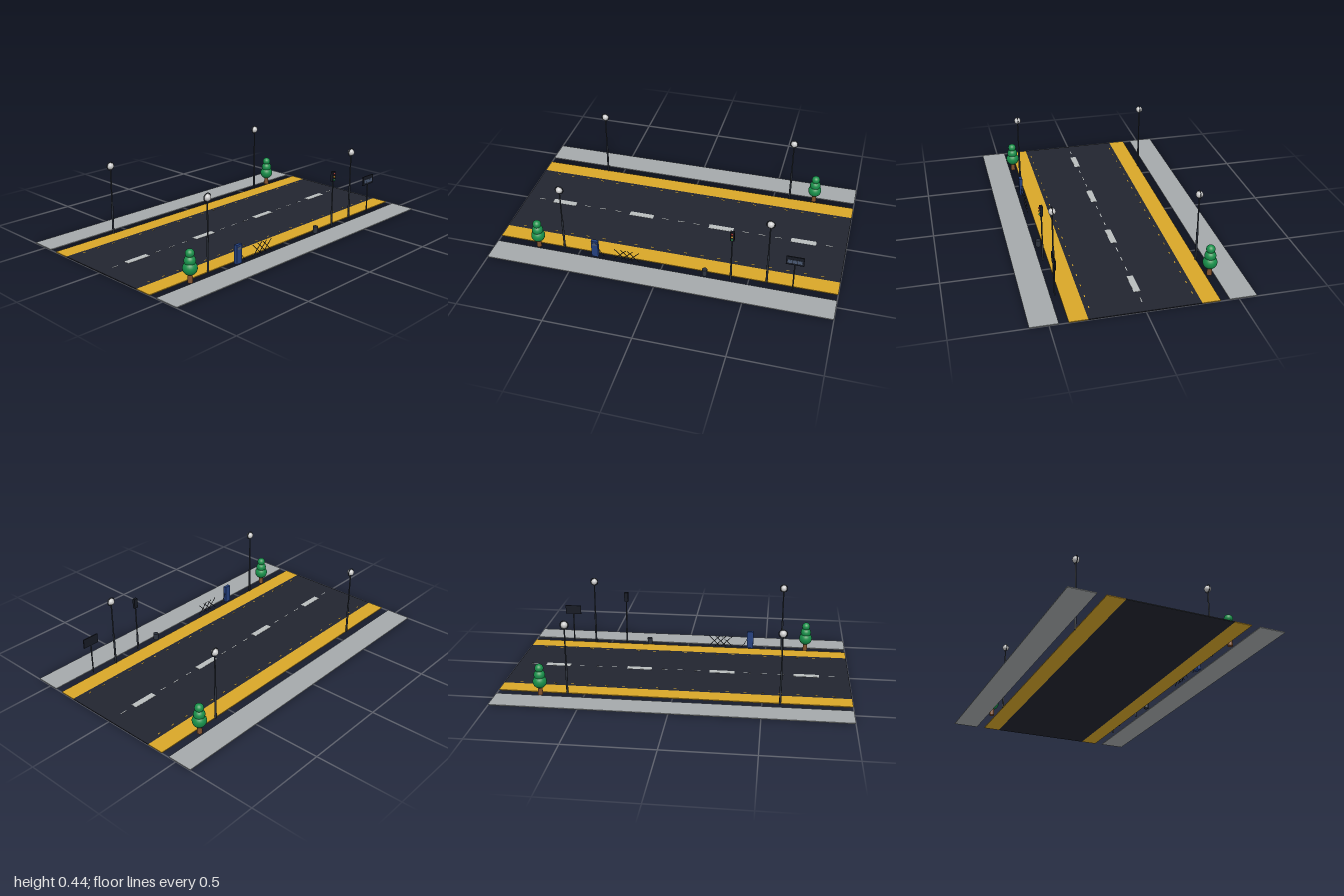
import * as THREE from 'three';

const mat = (color) => new THREE.MeshStandardMaterial({ color });
const M = {
  asphalt: mat(0x22252f), yellow: mat(0xd8a628), pavement: mat(0xa4a9ab), paint: mat(0xb9bdbd),
  metal: mat(0x2c323c), dark: mat(0x161a24), globe: mat(0xdddddd), leaf: mat(0x17904a), trunk: mat(0x80502c),
  blue: mat(0x24407f), screen: mat(0x4a5870), red: mat(0xc0302a), amber: mat(0xe0a020), green: mat(0x20a050),
};

function add(parent, name, geo, material, x = 0, y = 0, z = 0) {
  const m = new THREE.Mesh(geo, material);
  m.name = name;
  m.position.set(x, y, z);
  parent.add(m);
  return m;
}
const box = (w, h, d) => new THREE.BoxGeometry(w, h, d);
const cyl = (rt, rb, h, n = 16) => new THREE.CylinderGeometry(rt, rb, h, n);

function group(parent, name, x, z) {
  const g = new THREE.Group();
  g.name = name;
  g.position.set(x, 0, z);
  parent.add(g);
  return g;
}

// Thin straight rod between two points
function rod(parent, name, a, b, r, material) {
  const p = new THREE.Vector3(...a), q = new THREE.Vector3(...b);
  const m = add(parent, name, cyl(r, r, p.distanceTo(q), 8), material);
  m.position.copy(p).add(q).multiplyScalar(0.5);
  m.quaternion.setFromUnitVectors(new THREE.Vector3(0, 1, 0), q.sub(p).normalize());
}

function streetLamp(parent, x, z) {
  const g = group(parent, 'streetLamp', x, z);
  add(g, 'lampBase', cyl(0.006, 0.006, 0.2), M.metal, 0, 0.1);
  add(g, 'lampPole', cyl(0.004, 0.004, 0.2), M.metal, 0, 0.3);
  add(g, 'lampGlobe', new THREE.SphereGeometry(0.02, 24, 16), M.globe, 0, 0.415);
  add(g, 'lampRing', new THREE.TorusGeometry(0.0235, 0.0025, 8, 32), M.metal, 0, 0.415);
}

function tree(parent, x, z) {
  const g = group(parent, 'tree', x, z);
  add(g, 'trunk', cyl(0.012, 0.015, 0.06), M.trunk, 0, 0.03);
  [[0.04, 0.08], [0.032, 0.12], [0.025, 0.16]].forEach(([r, y]) =>
    add(g, 'foliage', new THREE.SphereGeometry(r, 24, 16), M.leaf, 0, y));
}

export function createModel() {
  const root = new THREE.Group();
  root.name = 'street';

  // Road, kerb lanes and pavements
  add(root, 'road', box(2, 0.005, 0.6), M.asphalt, 0, 0.0025);
  for (const s of [-1, 1]) {
    add(root, 'yellowLane', box(2, 0.005, 0.1), M.yellow, 0, 0.0025, s * 0.35);
    add(root, 'pavement', box(2, 0.005, 0.15), M.pavement, 0, 0.0025, s * 0.525);
  }

  // Painted markings
  for (let i = 0; i < 4; i++)
    add(root, 'wideDash', box(0.15, 0.0012, 0.036), M.paint, -0.75 + i * 0.5, 0.0055, 0);
  for (let i = 0; i < 19; i++) {
    const x = -0.9 + i * 0.1;
    add(root, 'centreDash', box(0.04, 0.0008, 0.005), M.paint, x, 0.0053, 0);
    for (const s of [-1, 1])
      add(root, 'edgeDash', box(0.018, 0.0008, 0.005), M.yellow, x, 0.0053, s * 0.277);
  }

  for (const x of [-0.6, 0.6]) for (const z of [-0.4, 0.4]) streetLamp(root, x, z);
  tree(root, -0.75, 0.425);
  tree(root, 0.75, -0.425);

  // Blue booth with a hanging cable
  const booth = group(root, 'booth', -0.4, 0.425);
  add(booth, 'boothBody', box(0.04, 0.11, 0.02), M.blue, 0, 0.055);
  add(booth, 'boothPanel', box(0.026, 0.016, 0.002), M.screen, 0, 0.09, 0.0105);
  const cable = new THREE.CatmullRomCurve3([
    new THREE.Vector3(0.018, 0.065, 0), new THREE.Vector3(0.032, 0.035, 0), new THREE.Vector3(0.054, 0.004, 0)]);
  add(booth, 'boothCable', new THREE.TubeGeometry(cable, 16, 0.0015, 6), M.dark);

  // Bicycle rack of crossing bars
  const rack = group(root, 'crossedRack', -0.21, 0.425);
  for (let i = -1; i <= 1; i++) for (const s of [-1, 1])
    rod(rack, 'rackBar', [i * 0.04 - s * 0.035, 0.003, 0], [i * 0.04 + s * 0.035, 0.072, 0], 0.002, M.dark);

  // Litter bin
  add(root, 'litterBin', cyl(0.015, 0.015, 0.04, 20), M.metal, 0.25, 0.02, 0.425);

  // Traffic light
  const light = group(root, 'trafficLight', 0.4, 0.425);
  add(light, 'signalBase', cyl(0.006, 0.006, 0.1), M.metal, 0, 0.05);
  add(light, 'signalPole', cyl(0.004, 0.004, 0.22), M.metal, 0, 0.18);
  add(light, 'signalHousing', box(0.024, 0.06, 0.016), M.dark, 0, 0.313);
  [M.red, M.amber, M.green].forEach((m, i) =>
    add(light, 'signalLamp', new THREE.SphereGeometry(0.006, 16, 10), m, 0, 0.331 - i * 0.019, 0.01));

  // Information sign with three screens
  const sign = group(root, 'infoSign', 0.75, 0.425);
  add(sign, 'signPole', cyl(0.004, 0.004, 0.19), M.metal, 0, 0.095);
  add(sign, 'signBoard', box(0.1, 0.056, 0.006), M.dark, 0, 0.213);
  for (let i = -1; i <= 1; i++)
    add(sign, 'signScreen', box(0.025, 0.022, 0.002), M.screen, i * 0.028, 0.209, 0.0035);

  return root;
}
